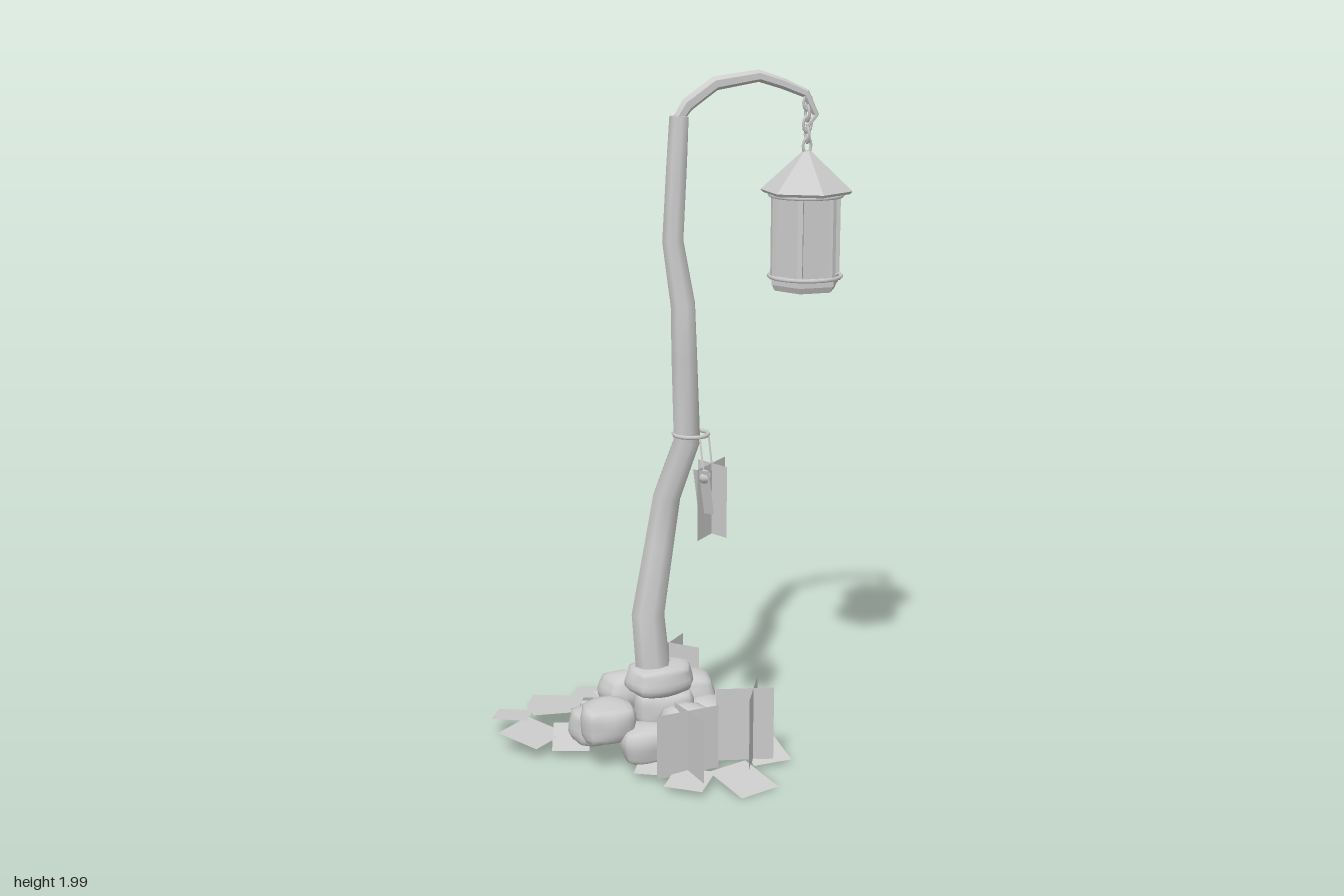
import * as THREE from 'three';
import { mergeVertices, toCreasedNormals } from 'three/addons/utils/BufferGeometryUtils.js';

const stoneGrey = new THREE.MeshStandardMaterial({ color: 0xcccccc, side: THREE.DoubleSide });
stoneGrey.name = 'plain grey';

function add(parent, name, geometry, x = 0, y = 0, z = 0) {
  const mesh = new THREE.Mesh(geometry, stoneGrey);
  mesh.name = name;
  mesh.position.set(x, y, z);
  parent.add(mesh);
  return mesh;
}

function group(parent, name, x = 0, y = 0, z = 0) {
  const g = new THREE.Group();
  g.name = name;
  g.position.set(x, y, z);
  parent.add(g);
  return g;
}

// Tapered, capped tube through points [x, y, z, radius]
function taperedTube(points, sides, crease) {
  const centres = points.map(p => new THREE.Vector3(p[0], p[1], p[2]));
  const last = points.length - 1;
  const zAxis = new THREE.Vector3(0, 0, 1);
  const pos = [], index = [];
  const ring = (i, r) => {
    const t = centres[Math.min(i + 1, last)].clone().sub(centres[Math.max(i - 1, 0)]).normalize();
    const u = t.clone().cross(zAxis).normalize();
    const v = u.clone().cross(t);
    for (let j = 0; j < sides; j++) {
      const a = (j / sides) * Math.PI * 2;
      const p = centres[i].clone().addScaledVector(u, r * Math.cos(a)).addScaledVector(v, r * Math.sin(a));
      pos.push(p.x, p.y, p.z);
    }
  };
  ring(0, 0);
  points.forEach((p, i) => ring(i, p[3]));
  ring(last, 0);
  for (let i = 0; i < last + 2; i++) {
    for (let j = 0; j < sides; j++) {
      const k = (j + 1) % sides;
      const a = i * sides + j, b = i * sides + k, c = a + sides, d = b + sides;
      index.push(a, c, b, b, c, d);
    }
  }
  const geo = new THREE.BufferGeometry();
  geo.setAttribute('position', new THREE.Float32BufferAttribute(pos, 3));
  geo.setIndex(index);
  return toCreasedNormals(geo, crease);
}

// Lumpy boulder: a cube partly inflated to a ball
function rockGeometry(w, h, d, seed) {
  let geo = new THREE.BoxGeometry(2, 2, 2, 6, 6, 6);
  geo.deleteAttribute('normal');
  geo.deleteAttribute('uv');
  geo = mergeVertices(geo);
  const p = geo.attributes.position, v = new THREE.Vector3();
  for (let i = 0; i < p.count; i++) {
    v.fromBufferAttribute(p, i);
    const ball = v.clone().normalize();
    v.lerp(ball, 0.72);
    const bump = 0.97 + 0.07 * Math.sin(3 * ball.x + seed * 2.1) * Math.cos(3.5 * ball.z + seed) + 0.04 * Math.sin(5 * ball.y + seed);
    v.multiplyScalar(bump * 0.94);
    p.setXYZ(i, v.x * w / 2, v.y * h / 2, v.z * d / 2);
  }
  geo.computeVertexNormals();
  return geo;
}

// Upright card whose lower edge runs between two ground points
function uprightCard(parent, x0, z0, x1, z1, y0, y1) {
  const geo = new THREE.PlaneGeometry(Math.hypot(x1 - x0, z1 - z0), y1 - y0);
  const card = add(parent, 'foliageCard', geo, (x0 + x1) / 2, (y0 + y1) / 2, (z0 + z1) / 2);
  card.rotation.y = -Math.atan2(z1 - z0, x1 - x0);
  return card;
}

function buildPole(root) {
  add(root, 'pole', taperedTube([
    [-0.05, 0.18, 0.03, 0.052], [-0.05, 0.28, 0.03, 0.052], [-0.062, 0.43, 0.025, 0.05],
    [-0.02, 0.63, 0.0, 0.045], [0.0, 0.78, 0.012, 0.042], [0.05, 0.95, 0.045, 0.04],
    [0.03, 1.2, 0.08, 0.038], [0.028, 1.35, 0.072, 0.036], [0.002, 1.53, 0.06, 0.031],
    [0.015, 1.75, 0.055, 0.03], [0.022, 1.875, 0.053, 0.028],
  ], 8, 0.9));
  add(root, 'hookArm', taperedTube([
    [0.022, 1.87, 0.053, 0.016], [0.045, 1.905, 0.054, 0.02], [0.125, 1.962, 0.058, 0.02],
    [0.25, 1.981, 0.068, 0.017], [0.32, 1.958, 0.074, 0.015], [0.385, 1.93, 0.08, 0.013],
    [0.415, 1.87, 0.083, 0.01], [0.39, 1.84, 0.083, 0.007],
  ], 6, 0.5));
}

function buildLantern(root) {
  const lantern = group(root, 'lantern', 0.39, 0, 0.083);
  // Chain of alternating links
  for (let i = 0; i < 5; i++) {
    const link = add(lantern, 'chainLink', new THREE.TorusGeometry(0.014, 0.0045, 5, 10), 0, 1.905 - i * 0.03, 0);
    link.scale.y = 1.45;
    link.rotation.y = i % 2 ? Math.PI / 2 : 0.2;
  }
  // Six-sided roof, turned against the body
  const hex = (name, top, bottom, y0, y1, turn) => {
    const geo = toCreasedNormals(new THREE.CylinderGeometry(top, bottom, y1 - y0, 6), 0.4);
    add(lantern, name, geo, 0, (y0 + y1) / 2, 0).rotation.y = turn;
  };
  const turn = Math.PI / 6;
  hex('roof', 0.012, 0.131, 1.66, 1.77, 0);
  hex('roofEave', 0.131, 0.124, 1.652, 1.66, 0);
  hex('glassBody', 0.094, 0.094, 1.41, 1.655, turn);
  hex('baseTray', 0.102, 0.102, 1.395, 1.42, turn);
  hex('baseFoot', 0.1, 0.092, 1.378, 1.395, turn);
  for (const y of [1.417, 1.648]) {
    const rim = add(lantern, 'rim', new THREE.TorusGeometry(0.103, 0.006, 6, 18), 0, y, 0);
    rim.rotation.x = Math.PI / 2;
  }
  for (let i = 0; i < 6; i++) {
    const a = i * Math.PI / 3;
    const post = add(lantern, 'cornerPost', new THREE.BoxGeometry(0.014, 0.245, 0.014), 0.096 * Math.cos(a), 1.533, 0.096 * Math.sin(a));
    post.rotation.y = -a;
  }
}

function buildHangingBundle(root) {
  const bundle = group(root, 'hangingBundle');
  const band = add(bundle, 'poleRing', new THREE.TorusGeometry(0.05, 0.006, 6, 18), 0.06, 0.97, 0.05);
  band.rotation.x = Math.PI / 2;
  uprightCard(bundle, 0.045, 0.155, 0.17, 0.035, 0.68, 0.89);
  uprightCard(bundle, 0.085, 0.04, 0.135, 0.15, 0.68, 0.89);
  const tag = uprightCard(bundle, 0.05, 0.125, 0.085, 0.16, 0.75, 0.89);
  tag.rotation.order = 'YXZ';
  tag.rotation.x = 0.25;
  const knob = add(bundle, 'knob', new THREE.SphereGeometry(0.02, 8, 6), 0.07, 0.865, 0.14);
  knob.scale.z = 1.4;
  add(bundle, 'cord', taperedTube([[0.105, 0.97, 0.075, 0.003], [0.11, 0.87, 0.095, 0.003]], 5, 0.9));
  add(bundle, 'cord', taperedTube([[0.07, 0.97, 0.1, 0.003], [0.07, 0.87, 0.135, 0.003]], 5, 0.9));
}

function buildRocks(root) {
  const rocks = group(root, 'rockPile');
  // x, y, z, width, height, depth
  [
    [0.0, 0.08, -0.17, 0.17, 0.13, 0.11], [-0.1, 0.16, -0.085, 0.165, 0.13, 0.145],
    [0.105, 0.13, -0.09, 0.17, 0.14, 0.155], [-0.21, 0.085, -0.03, 0.17, 0.12, 0.145],
    [-0.21, 0.145, 0.1, 0.18, 0.13, 0.165], [-0.11, 0.085, 0.15, 0.17, 0.13, 0.14],
    [0.0, 0.15, 0.205, 0.175, 0.13, 0.145], [0.115, 0.085, 0.15, 0.15, 0.13, 0.15],
    [0.12, 0.09, 0.03, 0.15, 0.13, 0.16], [-0.03, 0.235, 0.035, 0.225, 0.1, 0.17],
    [-0.02, 0.15, 0.04, 0.2, 0.13, 0.16], [-0.02, 0.07, 0.04, 0.22, 0.12, 0.24],
  ].forEach(([x, y, z, w, h, d], i) => {
    add(rocks, 'rock', rockGeometry(w, h, d, i + 1), x, y, z).rotation.y = 0.12 * Math.sin(i * 2.3);
  });
}

function buildFoliage(root) {
  const leaves = group(root, 'groundLeaves');
  // x, y, z, width, depth, yaw, pitch
  [
    [-0.11, 0.04, -0.385, 0.125, 0.12, -0.4, 0.1], [-0.26, 0.06, -0.3, 0.16, 0.13, -0.4, 0.08],
    [-0.42, 0.075, -0.2, 0.105, 0.11, -0.45, 0.1], [-0.39, 0.06, -0.08, 0.15, 0.14, 0.7, -0.15],
    [-0.305, 0.085, -0.2, 0.12, 0.15, -0.1, 0.1], [-0.05, 0.06, -0.285, 0.145, 0.12, 0.15, -0.12],
    [-0.145, 0.05, -0.18, 0.13, 0.14, -0.3, -0.25], [-0.28, 0.05, -0.04, 0.11, 0.14, -0.3, -0.25],
    [0.255, 0.06, 0.0, 0.115, 0.13, -0.3, 0.1], [0.235, 0.04, 0.205, 0.12, 0.13, 0.1, -0.25],
    [0.115, 0.03, 0.365, 0.135, 0.15, 0.35, -0.2], [-0.035, 0.035, 0.33, 0.115, 0.12, -0.65, -0.1],
    [-0.1, 0.04, 0.22, 0.11, 0.1, -0.5, -0.15], [0.06, 0.02, 0.0, 0.2, 0.2, 0.3, 0.05],
  ].forEach(([x, y, z, w, d, yaw, pitch]) => {
    const leaf = add(leaves, 'groundLeaf', new THREE.PlaneGeometry(w, d), x, y, z);
    leaf.rotation.set(-Math.PI / 2 + pitch * -1, yaw, 0, 'YXZ');
  });
  // Crossed upright cards around the pile: x0, z0, x1, z1, bottom, top
  const tufts = group(root, 'foliageTufts');
  [
    [0.01, -0.335, 0.165, -0.18, 0.03, 0.23], [0.16, -0.32, 0.015, -0.175, 0.03, 0.23],
    [0.083, 0.216, 0.247, 0.254, 0.03, 0.25], [0.235, 0.15, 0.146, 0.325, 0.03, 0.25],
    [-0.12, 0.293, 0.075, 0.263, 0.03, 0.22], [-0.038, 0.203, -0.005, 0.37, 0.03, 0.22],
  ].forEach(card => uprightCard(tufts, ...card));
}

export function createModel() {
  const root = new THREE.Group();
  root.name = 'lanternPost';
  buildPole(root);
  buildLantern(root);
  buildHangingBundle(root);
  buildRocks(root);
  buildFoliage(root);
  return root;
}
